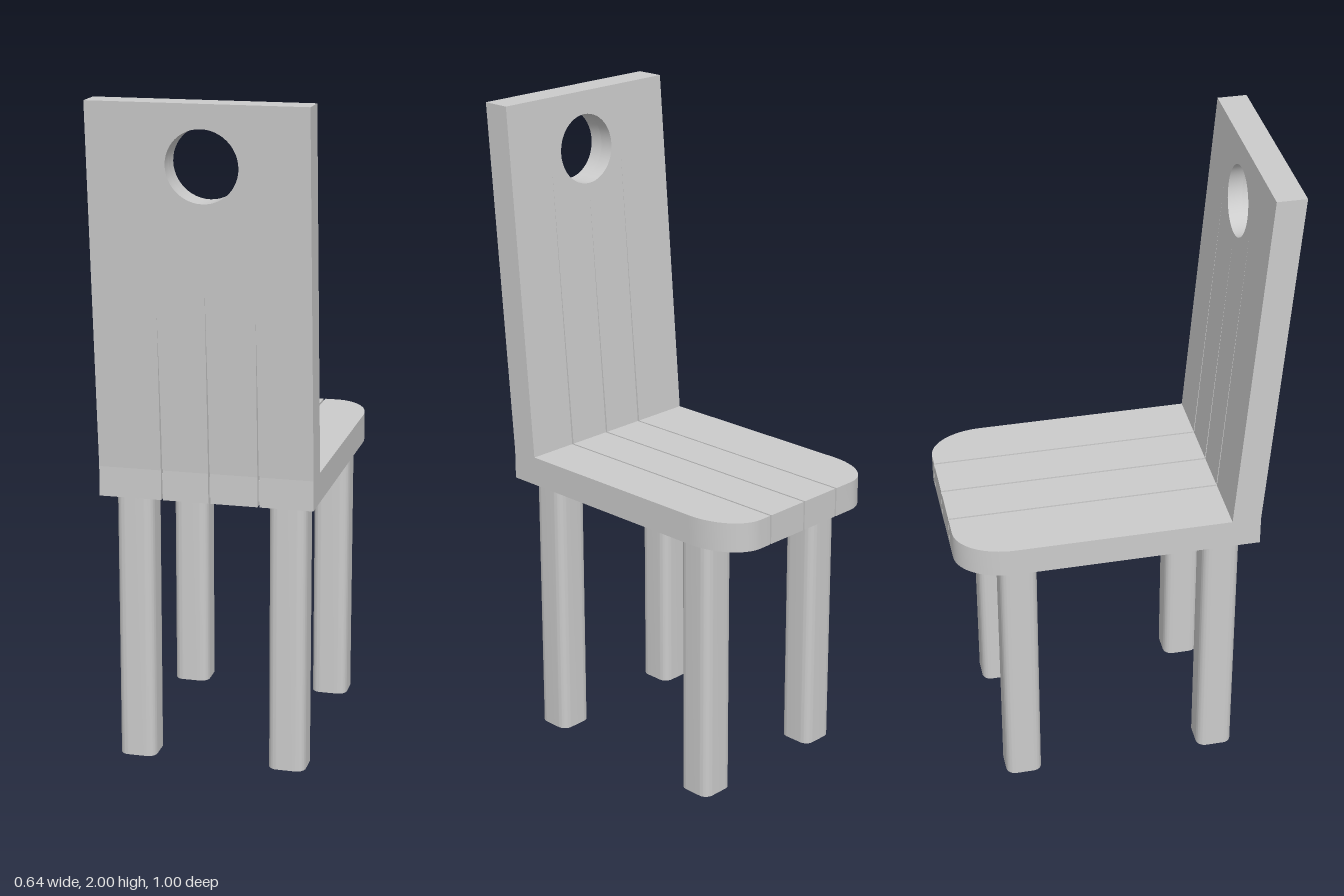
import * as THREE from 'three';
import { toCreasedNormals } from 'three/addons/utils/BufferGeometryUtils.js';

const material = new THREE.MeshStandardMaterial({ color: 0xcccccc });
const HALF = 0.32, SEAT_BOTTOM = 0.835, SEAT_TOP = 0.925, REAR = 0.415, THICK = 0.088, TOP = 2;
const GROOVES = [-0.13, 0.012, 0.158];
const GAP = 0.003;   // half width of a groove
const INSET = 0.014; // depth of a groove

function extrude(shape, depth) {
  return new THREE.ExtrudeGeometry(shape, { depth, bevelEnabled: false, curveSegments: 24 });
}

function mesh(name, geometry) {
  const m = new THREE.Mesh(toCreasedNormals(geometry, 0.5), material);
  m.name = name;
  return m;
}

// Distance of the seat's front edge from the centre, with elliptical corners
function frontEdge(x) {
  const t = Math.min(1, Math.max(0, (Math.abs(x) - 0.2) / 0.12));
  return 0.33 + 0.17 * Math.sqrt(1 - t * t);
}

// A strip of the seat between x0 and x1, shrunk by inset on its open faces
function seatStrip(name, x0, x1, inset) {
  const points = [new THREE.Vector2(x0, inset - REAR), new THREE.Vector2(x1, inset - REAR)];
  const xs = [x0, x1];
  for (let i = 0; i <= 16; i++) {
    const x = 0.2 + 0.12 * Math.sin(i / 16 * Math.PI / 2);
    for (const s of [-x, x]) if (s > x0 && s < x1) xs.push(s);
  }
  xs.sort((a, b) => b - a);
  for (const x of xs) points.push(new THREE.Vector2(x, frontEdge(x) - inset));
  const g = extrude(new THREE.Shape(points), SEAT_TOP - SEAT_BOTTOM - 2 * inset);
  g.rotateX(-Math.PI / 2).translate(0, SEAT_BOTTOM + inset, 0);
  return mesh(name, g);
}

// A leaning layer of the backrest; notchTops are the heights where the grooves fade out
function backLayer(name, zRear, depth, notchTops, inset = 0) {
  const shape = new THREE.Shape();
  const w = HALF - inset;
  shape.moveTo(-w, SEAT_TOP);
  notchTops.forEach((top, i) => {
    shape.lineTo(GROOVES[i] - GAP, SEAT_TOP);
    shape.lineTo(GROOVES[i], top);
    shape.lineTo(GROOVES[i] + GAP, SEAT_TOP);
  });
  shape.lineTo(w, SEAT_TOP);
  shape.lineTo(w, TOP - inset);
  shape.lineTo(-w, TOP - inset);
  shape.closePath();
  const hole = new THREE.Path();
  hole.absarc(0.012, 1.825, 0.105 + inset, 0, Math.PI * 2, true);
  shape.holes.push(hole);
  const g = extrude(shape, depth);
  g.translate(0, 0, zRear - depth);
  const p = g.attributes.position;
  for (let i = 0; i < p.count; i++) {
    const lean = (p.getY(i) - SEAT_TOP) / (TOP - SEAT_TOP);
    p.setZ(i, p.getZ(i) + lean * (0.5 - REAR));
  }
  return mesh(name, g);
}

// Square leg with rounded upright edges
function legGeometry() {
  const h = 0.056, r = 0.028;
  const s = new THREE.Shape();
  s.moveTo(-h + r, -h);
  s.lineTo(h - r, -h);
  s.absarc(h - r, -h + r, r, -Math.PI / 2, 0);
  s.absarc(h - r, h - r, r, 0, Math.PI / 2);
  s.absarc(-h + r, h - r, r, Math.PI / 2, Math.PI);
  s.absarc(-h + r, -h + r, r, Math.PI, Math.PI * 1.5);
  const g = new THREE.ExtrudeGeometry(s, { depth: SEAT_BOTTOM, bevelEnabled: false, curveSegments: 6 });
  return g.rotateX(-Math.PI / 2);
}

export function createModel() {
  const chair = new THREE.Group();
  chair.name = 'chair';

  // Seat: four boards around a core that closes the grooves
  const seat = new THREE.Group();
  seat.name = 'seat';
  const edges = [-HALF, ...GROOVES, HALF];
  for (let i = 0; i < 4; i++) {
    const x0 = edges[i] + (i > 0 ? GAP : 0), x1 = edges[i + 1] - (i < 3 ? GAP : 0);
    seat.add(seatStrip('seatBoard', x0, x1, 0));
  }
  seat.add(seatStrip('seatCore', -0.25, 0.25, INSET));
  chair.add(seat);

  // Backrest: two grooved layers around a core
  const backrest = new THREE.Group();
  backrest.name = 'backrest';
  backrest.add(
    backLayer('backrestRear', REAR, THICK / 2, [1.4, 1.5, 1.4]),
    backLayer('backrestFront', REAR - THICK / 2, THICK / 2, [1.8, 1.69, 1.8]),
    backLayer('backrestCore', REAR - INSET, THICK - 2 * INSET, [], INSET)
  );
  chair.add(backrest);

  // Legs
  for (const x of [-0.231, 0.231]) {
    for (const z of [-0.315, 0.308]) {
      const leg = mesh(z < 0 ? 'frontLeg' : 'backLeg', legGeometry());
      leg.position.set(x, 0, z);
      chair.add(leg);
    }
  }
  return chair;
}
